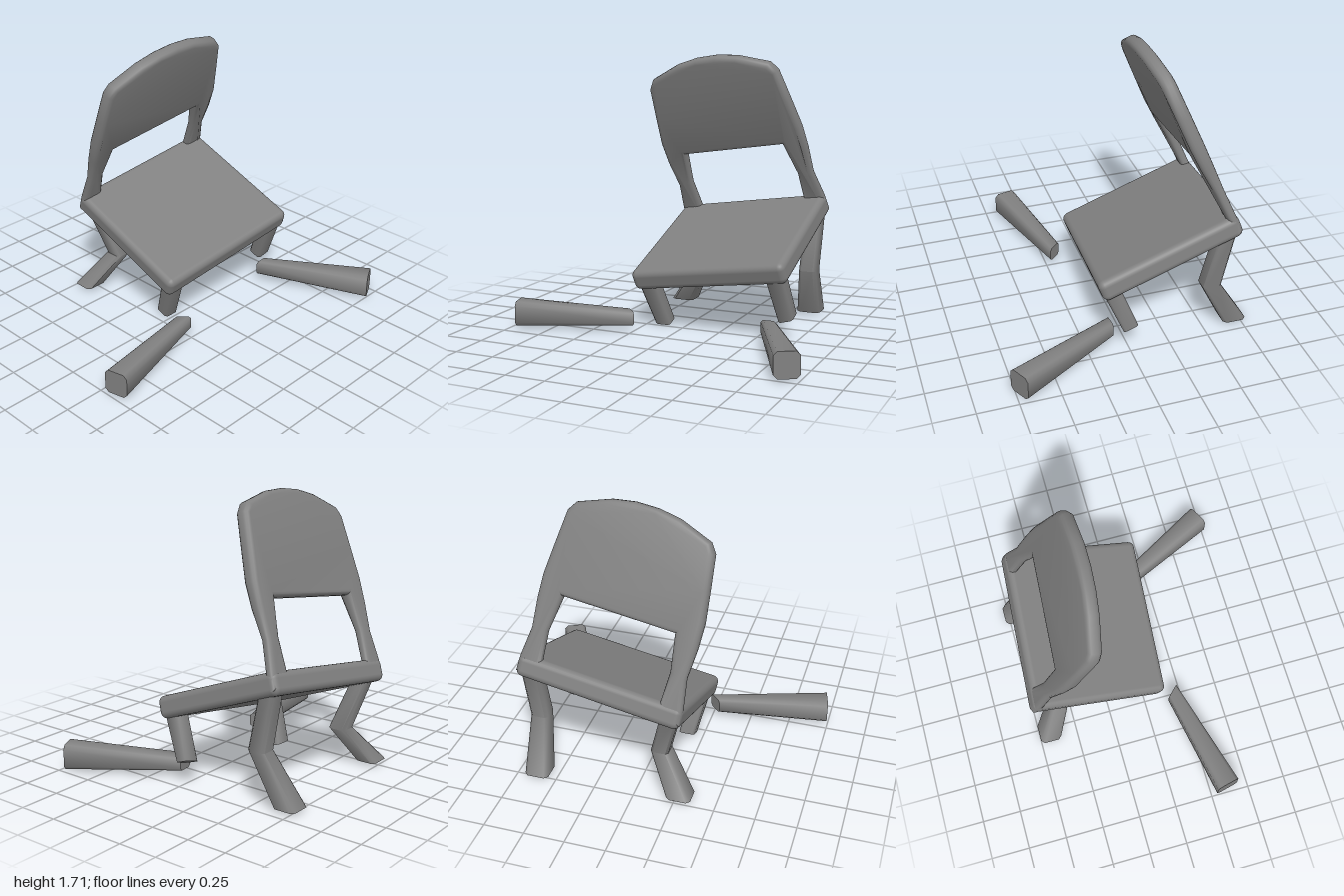
import * as THREE from 'three';
import { toCreasedNormals } from 'three/addons/utils/BufferGeometryUtils.js';
import { RoundedBoxGeometry } from 'three/addons/geometries/RoundedBoxGeometry.js';

const material = new THREE.MeshStandardMaterial({ color: 0x808080 });

function addMesh(parent, name, geometry) {
  const mesh = new THREE.Mesh(geometry, material);
  mesh.name = name;
  parent.add(mesh);
  return mesh;
}

// Leg with chamfered square sections [x, y, z, width, depth, slope], bottom to top
function limbGeometry(sections) {
  const c = 0.7;
  const corners = [[1, -c], [1, c], [c, 1], [-c, 1], [-1, c], [-1, -c], [-c, -1], [c, -1]];
  const n = corners.length;
  const positions = [];
  const index = [];
  for (const [x, y, z, w, d, slope = 0] of sections) {
    for (const [cx, cz] of corners) {
      positions.push(x + cx * w / 2, y + slope * cx * w / 2, z + cz * d / 2);
    }
  }
  for (let i = 0; i < sections.length - 1; i++) {
    for (let j = 0; j < n; j++) {
      const a = i * n + j;
      const b = i * n + (j + 1) % n;
      index.push(a, a + n, b, b, a + n, b + n);
    }
  }
  const top = (sections.length - 1) * n;
  for (let j = 1; j < n - 1; j++) {
    index.push(0, j, j + 1, top, top + j + 1, top + j);
  }
  const geometry = new THREE.BufferGeometry();
  geometry.setAttribute('position', new THREE.Float32BufferAttribute(positions, 3));
  geometry.setIndex(index);
  return toCreasedNormals(geometry, 0.9);
}

// Backrest: posts, waist and arched panel in one outline with an open gap
function backrestGeometry() {
  const shape = new THREE.Shape();
  const side = [[0.52, -0.04], [0.515, 0.06], [0.487, 0.24], [0.5, 0.42], [0.5, 0.57],
    [0.477, 0.76], [0.45, 0.965], [0.41, 1.022], [0.21, 1.095], [0.07, 1.118]];
  const outline = [...side, ...side.map(([x, y]) => [-x, y]).reverse()];
  shape.setFromPoints(outline.map(([x, y]) => new THREE.Vector2(x, y)));
  const gap = [[0.375, 0.045], [0.385, 0.25], [0.35, 0.472]];
  const gapLoop = [...gap, ...gap.map(([x, y]) => [-x, y]).reverse()];
  shape.holes.push(new THREE.Path(gapLoop.map(([x, y]) => new THREE.Vector2(x, y))));

  const bevel = 0.02;
  const geometry = new THREE.ExtrudeGeometry(shape, {
    depth: 0.015, bevelThickness: bevel, bevelSize: 0.03, bevelOffset: -0.03, bevelSegments: 3,
  });
  // Thin posts below, thicker panel above, leaning slightly forward
  const p = geometry.attributes.position;
  for (let i = 0; i < p.count; i++) {
    const y = Math.max(0, p.getY(i));
    const thicken = 1 + 0.6 * THREE.MathUtils.clamp((y - 0.2) / 0.3, 0, 1);
    p.setZ(i, -0.452 + (p.getZ(i) + bevel) * thicken + 0.03 * y);
  }
  geometry.deleteAttribute('normal');
  geometry.deleteAttribute('uv');
  return toCreasedNormals(geometry, 0.8);
}

export function createModel() {
  const chair = new THREE.Group();
  chair.name = 'brokenChair';

  // Tilted body: seat, backrest and snapped front legs
  const body = new THREE.Group();
  body.name = 'chairBody';
  const across = new THREE.Vector3(0.987, 0.144, 0.065).normalize();
  const up = new THREE.Vector3(-0.158, 0.926, 0.343);
  up.addScaledVector(across, -up.dot(across)).normalize();
  const forward = new THREE.Vector3().crossVectors(across, up);
  body.quaternion.setFromRotationMatrix(new THREE.Matrix4().makeBasis(across, up, forward));
  body.position.set(0.22, 0.533, -0.286);
  chair.add(body);

  addMesh(body, 'seat', new RoundedBoxGeometry(1.04, 0.135, 0.915, 3, 0.04));
  addMesh(body, 'backrest', backrestGeometry());
  for (const s of [1, -1]) {
    addMesh(body, s > 0 ? 'leftFrontStub' : 'rightFrontStub', limbGeometry([
      [s * 0.425, -0.337, 0.385, 0.1, 0.095, s * 0.15],
      [s * 0.435, 0, 0.395, 0.11, 0.105],
    ]));
  }

  // Bent rear legs standing on the floor
  addMesh(chair, 'leftRearLeg', limbGeometry([
    [0.622, 0.025, -0.705, 0.15, 0.15],
    [0.66, 0.335, -0.53, 0.11, 0.115],
    [0.67, 0.735, -0.618, 0.11, 0.1],
  ]));
  addMesh(chair, 'rightRearLeg', limbGeometry([
    [-0.275, 0.025, -0.68, 0.15, 0.14],
    [-0.12, 0.25, -0.555, 0.11, 0.115],
    [-0.215, 0.6, -0.665, 0.11, 0.1],
  ]));

  // Snapped-off front legs lying on the floor: foot and broken end as [x, z]
  const loose = [
    ['rightLooseLeg', [-0.978, 0.36], [-0.265, 0.19], -0.6],
    ['leftLooseLeg', [0.936, 0.733], [0.6, 0.08], 0.4],
  ];
  for (const [name, foot, end, slope] of loose) {
    const dx = end[0] - foot[0];
    const dz = end[1] - foot[1];
    const geometry = limbGeometry([
      [0, 0, 0, 0.15, 0.155],
      [0, Math.hypot(dx, dz), 0, 0.09, 0.09, slope],
    ]);
    geometry.rotateX(Math.PI / 2);
    const leg = addMesh(chair, name, geometry);
    leg.position.set(foot[0], 0.099, foot[1]);
    leg.rotation.y = Math.atan2(dx, dz);
  }
  return chair;
}
